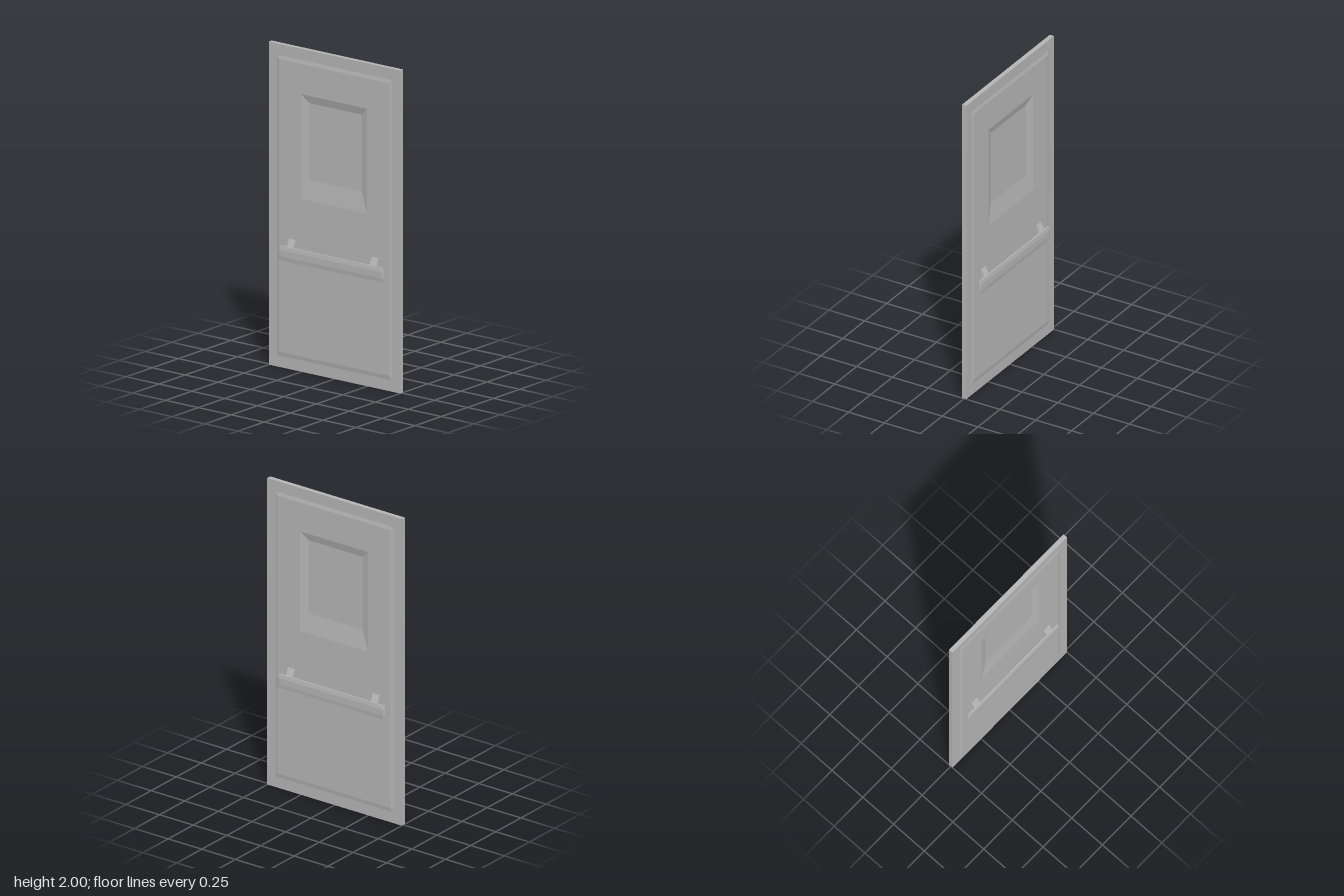
import * as THREE from 'three';

// Skin consecutive rings of points with flat faces; rings run anticlockwise seen from the last one.
function loft(rings, capStart) {
  const pos = [];
  const tri = (a, b, c) => pos.push(...a, ...b, ...c);
  for (let r = 0; r < rings.length - 1; r++) {
    const a = rings[r], b = rings[r + 1], n = a.length;
    for (let i = 0; i < n; i++) {
      const j = (i + 1) % n;
      tri(a[i], a[j], b[j]);
      tri(a[i], b[j], b[i]);
    }
  }
  const first = rings[0], last = rings[rings.length - 1];
  for (let i = 1; i < last.length - 1; i++) {
    tri(last[0], last[i], last[i + 1]);
    if (capStart) tri(first[0], first[i + 1], first[i]);
  }
  const g = new THREE.BufferGeometry();
  g.setAttribute('position', new THREE.Float32BufferAttribute(pos, 3));
  g.computeVertexNormals();
  return g;
}

const rect = (x, y0, y1, z) => [[-x, y0, z], [x, y0, z], [x, y1, z], [-x, y1, z]];

export function createModel() {
  const model = new THREE.Group();
  model.name = 'door';
  const grey = new THREE.MeshStandardMaterial({ color: 0xb4b4b4 });
  grey.name = 'door grey';

  // Half slab: edge, raised bevelled panel, sunken window panel
  const slabGeo = loft([
    rect(0.5, 0, 2, 0),
    rect(0.5, 0, 2, 0.0145),
    rect(0.437, 0.07, 1.93, 0.0145),
    rect(0.42, 0.096, 1.908, 0.0195),
    rect(0.252, 1.07, 1.72, 0.0195),
    rect(0.2, 1.195, 1.67, 0.004),
  ], false);

  // Push bar: tall chamfered section with pointed ends
  const section = [
    [0.045, 0.675], [0.05, 0.675], [0.0535, 0.7], [0.0535, 0.74],
    [0.049, 0.765], [0.041, 0.765], [0.0385, 0.745], [0.041, 0.7],
  ];
  const barRing = (x, sz, sy) =>
    section.map(([z, y]) => [x, 0.72 + (y - 0.72) * sy, 0.047 + (z - 0.047) * sz]);
  const barGeo = loft([
    barRing(0.4, 0.15, 0.6), barRing(0.388, 1, 1),
    barRing(-0.388, 1, 1), barRing(-0.4, 0.15, 0.6),
  ], true);

  // Sloping bracket that carries the bar
  const bracketShape = new THREE.Shape([
    [0.014, 0.81], [0.014, 0.765], [0.04, 0.73], [0.049, 0.755], [0.022, 0.81],
  ].map(([z, y]) => new THREE.Vector2(z, y)));
  const bracketGeo = new THREE.ExtrudeGeometry(bracketShape, { depth: 0.05, bevelEnabled: false });
  bracketGeo.rotateY(-Math.PI / 2);

  // Both faces of the door are alike
  for (const name of ['frontSide', 'backSide']) {
    const side = new THREE.Group();
    side.name = name;
    const add = (geo, part, x = 0) => {
      const mesh = new THREE.Mesh(geo, grey);
      mesh.name = part;
      mesh.position.x = x;
      side.add(mesh);
    };
    add(slabGeo, 'panelledSlab');
    add(barGeo, 'pushBar');
    add(bracketGeo, 'leftBracket', 0.34);
    add(bracketGeo, 'rightBracket', -0.29);
    if (name === 'backSide') side.rotation.y = Math.PI;
    model.add(side);
  }
  return model;
}
